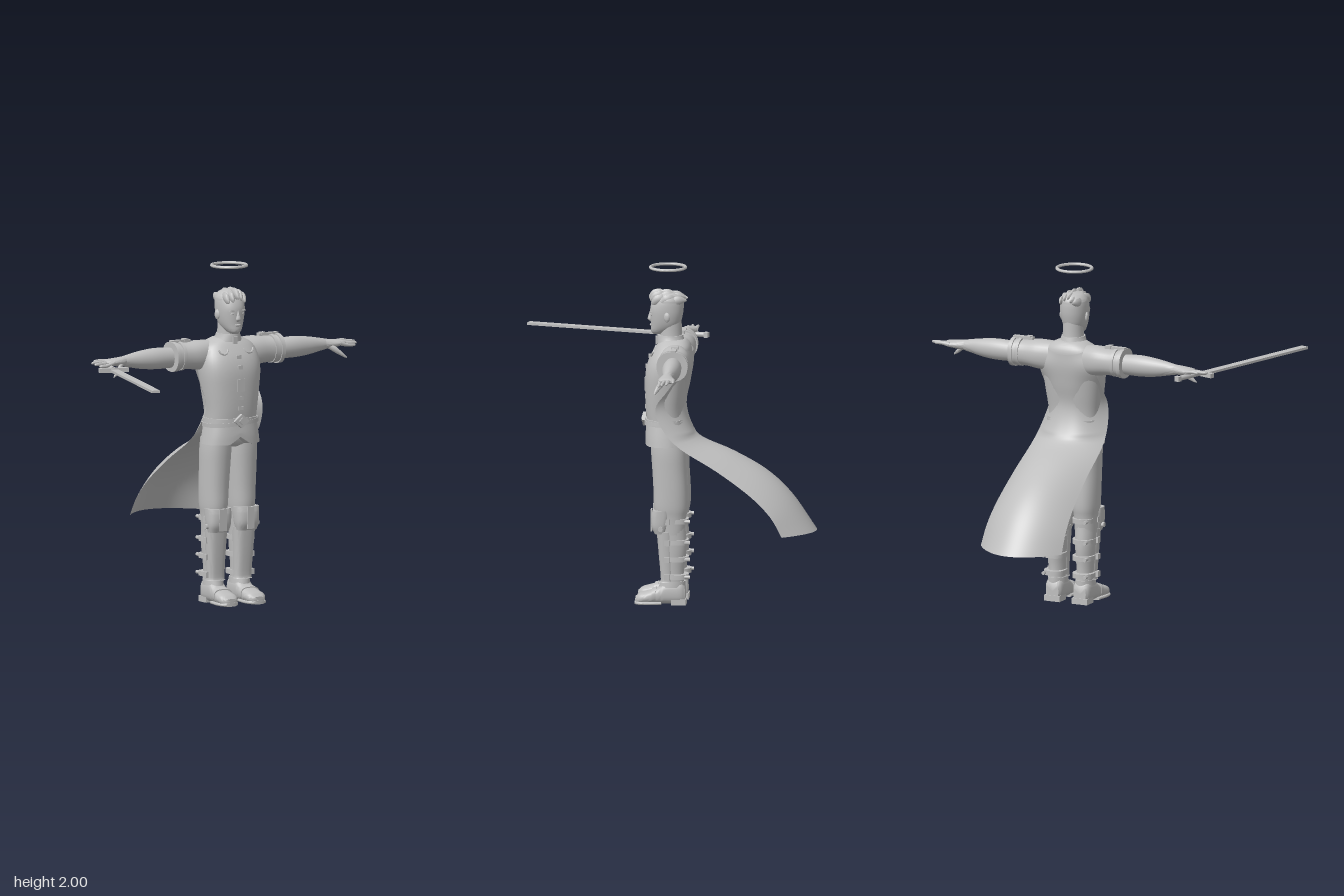
import * as THREE from 'three';
import { toCreasedNormals } from 'three/addons/utils/BufferGeometryUtils.js';

// Skin through superellipse rings [t, uCentre, uHalf, vLow, vHigh] along an axis.
// Axis y uses (u,v)=(x,z); axis x uses (z,y); axis z uses (x,y).
function loft(axis, rings, { n = 2, seg = 28, sub = 4 } = {}) {
  const A = new THREE.CatmullRomCurve3(rings.map(r => new THREE.Vector3(r[0], r[1], r[2])), false, 'catmullrom', 0.5);
  const B = new THREE.CatmullRomCurve3(rings.map(r => new THREE.Vector3(r[3], r[4], 0)), false, 'catmullrom', 0.5);
  const rows = (rings.length - 1) * sub, pos = [], idx = [];
  const put = (t, u, v) => pos.push(...(axis === 'y' ? [u, t, v] : axis === 'x' ? [t, v, u] : [u, v, t]));
  const pw = c => Math.sign(c) * Math.abs(c) ** (2 / n);
  const ends = [];
  for (let i = 0; i <= rows; i++) {
    const a = A.getPoint(i / rows), b = B.getPoint(i / rows);
    if (i === 0 || i === rows) ends.push([a.x, a.y, (b.x + b.y) / 2, i * seg]);
    for (let j = 0; j < seg; j++) {
      const th = j / seg * Math.PI * 2;
      put(a.x, a.y + a.z * pw(Math.cos(th)), (b.x + b.y) / 2 + (b.y - b.x) / 2 * pw(Math.sin(th)));
      const k = (j + 1) % seg, p = i * seg;
      if (i < rows) idx.push(p + j, p + seg + j, p + k, p + k, p + seg + j, p + seg + k);
    }
  }
  ends.forEach(([t, u, v, p], e) => {
    const c = pos.length / 3;
    put(t, u, v);
    for (let j = 0; j < seg; j++) {
      const k = (j + 1) % seg;
      e ? idx.push(c, p + k, p + j) : idx.push(c, p + j, p + k);
    }
  });
  // Turn the faces outward
  const P = i => new THREE.Vector3().fromArray(pos, i * 3);
  let vol = 0;
  for (let i = 0; i < idx.length; i += 3) vol += P(idx[i]).dot(P(idx[i + 1]).cross(P(idx[i + 2])));
  if (vol < 0) idx.reverse();
  const g = new THREE.BufferGeometry();
  g.setAttribute('position', new THREE.Float32BufferAttribute(pos, 3));
  g.setIndex(idx);
  return g;
}

const box = (w, h, d, x, y, z, rz = 0) => new THREE.BoxGeometry(w, h, d).rotateZ(rz).translate(x, y, z);

function mirrored(g) {
  const m = g.clone().scale(-1, 1, 1), p = m.attributes.position;
  for (let i = 0; i < p.count; i += 3) {
    const a = new THREE.Vector3().fromBufferAttribute(p, i), c = new THREE.Vector3().fromBufferAttribute(p, i + 2);
    p.setXYZ(i, c.x, c.y, c.z);
    p.setXYZ(i + 2, a.x, a.y, a.z);
  }
  return toCreasedNormals(m, 0.8);
}

export function createModel() {
  const grey = new THREE.MeshStandardMaterial({ color: 0xbfbfbf });
  grey.name = 'plain grey';
  const clothGrey = new THREE.MeshStandardMaterial({ color: 0xbfbfbf, side: THREE.DoubleSide });
  clothGrey.name = 'cape grey';
  const model = new THREE.Group(), figure = new THREE.Group();
  model.name = 'swordsman';
  figure.name = 'figure';
  figure.position.x = 0.08;
  model.add(figure);
  const mesh = (name, g, parent = figure) => {
    const m = new THREE.Mesh(g, grey);
    m.name = name;
    parent.add(m);
  };
  const add = (name, g) => mesh(name, toCreasedNormals(g, 0.8));
  const pair = (name, g) => {
    const c = toCreasedNormals(g, 0.8);
    mesh(name + 'Left', c);
    mesh(name + 'Right', mirrored(c));
  };

  // Coat, with the hem cut open at the front
  add('coat', loft('y', [[1.07, 0, .155, -.13, .09], [1.15, 0, .16, -.13, .098], [1.26, 0, .175, -.145, .102],
    [1.37, 0, .188, -.16, .1], [1.45, 0, .185, -.168, .08], [1.52, 0, .16, -.165, .04], [1.558, 0, .1, -.14, .01],
    [1.57, 0, .06, -.11, 0]], { n: 2.5, seg: 40 }));
  const skirt = loft('y', [[.945, 0, .178, -.14, .1], [1.0, 0, .17, -.137, .1], [1.08, 0, .157, -.132, .094]], { n: 2.6, seg: 48 });
  const sp = skirt.attributes.position;
  for (let i = 0; i < sp.count; i++) {
    const lift = Math.max(0, 1 - Math.abs(sp.getX(i)) / .07) * .045;
    if (sp.getZ(i) > .03 && sp.getY(i) < 1.03) sp.setY(i, sp.getY(i) + lift * (1.03 - sp.getY(i)) / .085);
  }
  add('coatSkirt', skirt);
  const beltRings = (a, b, e) => [a, b].map(y => [y, 0, .157 + e, -.134 - e, .096 + e]);
  add('belt', loft('y', beltRings(1.065, 1.1, .007), { n: 2.5, seg: 40, sub: 1 }));
  add('lowerBelt', loft('y', beltRings(-.012, .012, .011), { n: 2.5, seg: 40, sub: 1 }).rotateZ(.07).translate(0, 1.07, 0));
  add('beltBuckle', box(.058, .058, .02, 0, 0, 0, Math.PI / 4).scale(1.25, 1, 1).translate(0, 1.085, .108));
  add('beltBuckleCentre', box(.03, .03, .02, 0, 1.085, .114, Math.PI / 4));
  add('collar', loft('y', [[1.545, 0, .085, -.13, .035], [1.575, 0, .073, -.122, .034], [1.59, 0, .069, -.118, .032]]));
  add('collarClasp', box(.028, .045, .014, 0, 1.555, .037));
  add('coatPlacket', box(.05, .075, .01, 0, 1.295, .102));
  for (const y of [1.46, 1.4, 1.22, 1.16]) add('coatFastener', box(.032, .022, .012, 0, y, y > 1.43 ? .078 : y > 1.3 ? .096 : .099));
  pair('pocketFlap', new THREE.TorusGeometry(.03, .006, 6, 14, Math.PI).rotateZ(Math.PI).rotateX(-.45).translate(.085, 1.505, .047));

  // Sleeves, cuffs and shoulder straps
  pair('sleeve', loft('x', [[.1, -.08, .075, 1.37, 1.55], [.19, -.085, .088, 1.38, 1.553], [.28, -.085, .084, 1.39, 1.545],
    [.365, -.085, .086, 1.385, 1.55]], { n: 2.3 }));
  pair('sleeveCuff', loft('x', [[.343, -.085, .091, 1.38, 1.556], [.367, -.085, .091, 1.38, 1.556]], { n: 2.3, sub: 1 }));
  pair('shoulderBand', loft('x', [[.302, -.085, .09, 1.385, 1.555], [.322, -.085, .09, 1.385, 1.555]], { n: 2.3, sub: 1 }));
  pair('shoulderStrap', box(.13, .016, .03, .3, 1.555, -.092));
  pair('strapBuckle', box(.028, .016, .04, .265, 1.56, -.092));

  // Bare arms and hands
  pair('forearm', loft('x', [[.33, -.088, .05, 1.405, 1.52], [.46, -.09, .055, 1.402, 1.528], [.56, -.09, .047, 1.41, 1.52],
    [.64, -.088, .035, 1.425, 1.507], [.7, -.086, .028, 1.437, 1.495]]));
  pair('palm', loft('x', [[.68, -.086, .029, 1.438, 1.497], [.72, -.085, .038, 1.438, 1.493], [.765, -.088, .048, 1.445, 1.488],
    [.8, -.092, .045, 1.452, 1.484], [.815, -.092, .034, 1.46, 1.478]]));
  [[-.052, -.05, .875, 1.452], [-.078, -.07, .895, 1.462], [-.103, -.098, .9, 1.468], [-.127, -.133, .865, 1.472]].forEach(([z0, z1, x, y]) =>
    pair('finger', loft('x', [[.77, z0, .012, 1.453, 1.481], [(.77 + x) / 2, (z0 + z1) / 2, .011, y - .009, y + .012],
      [x - .01, z1, .008, y - .008, y + .008], [x, z1, .002, y - .002, y + .002]], { seg: 10 })));
  pair('thumb', loft('x', [[.7, -.075, .016, 1.44, 1.475], [.735, -.05, .016, 1.415, 1.455], [.77, -.03, .011, 1.393, 1.42],
    [.795, -.018, .004, 1.382, 1.392]], { seg: 12 }));

  // Head and face
  add('neck', loft('y', [[1.53, 0, .075, -.125, .025], [1.58, 0, .062, -.112, .02], [1.68, 0, .06, -.11, .02]]));
  add('head', loft('y', [[1.594, 0, .022, .0, .058], [1.612, 0, .044, -.05, .07], [1.65, 0, .065, -.098, .071],
    [1.7, 0, .077, -.115, .074], [1.75, 0, .081, -.122, .074], [1.8, 0, .077, -.12, .056], [1.832, 0, .058, -.1, .03],
    [1.845, 0, .025, -.06, 0]], { n: 2.2, seg: 32 }));
  add('nose', loft('y', [[1.668, 0, .011, .05, .076], [1.68, 0, .016, .05, .09], [1.71, 0, .01, .05, .083], [1.745, 0, .008, .05, .072]], { seg: 12 }));
  add('mouth', new THREE.SphereGeometry(1, 14, 8).scale(.023, .007, .01).translate(0, 1.647, .068));
  pair('ear', new THREE.SphereGeometry(1, 12, 10).scale(.01, .03, .019).rotateY(-.3).translate(.081, 1.705, -.03));
  pair('brow', box(.036, .008, .014, .034, 1.733, .065, .12));
  pair('eye', new THREE.SphereGeometry(1, 12, 8).scale(.013, .006, .008).translate(.033, 1.714, .064));

  // Swept-back hair
  add('hairCap', loft('y', [[1.785, 0, .082, -.124, .058], [1.81, 0, .078, -.12, .052], [1.838, 0, .055, -.095, .03], [1.85, 0, .02, -.06, 0]]));
  for (let row = 0; row < 3; row++) {
    for (let i = -2; i <= 2; i++) {
      const x = i * .027 + (row % 2) * .008, z = .06 - row * .05 - Math.abs(i) * .009;
      const top = 1.862 - Math.abs(i) * .012 - (row === 2 ? .01 : 0) + (i % 2) * .004;
      add('hairTuft', loft('z', [[z + .022, x, .004, top - .06, top - .04], [z, x * 1.03, .015, top - .065, top - .008],
        [z - .045, x * .95, .014, top - .05, top], [z - .085, x * .75, .002, top - .03, top - .022]], { seg: 10, sub: 3 }));
    }
  }
  add('halo', new THREE.TorusGeometry(.103, .009, 10, 48).rotateX(Math.PI / 2).translate(0, 1.99, -.03));

  // Trousers
  add('hips', loft('y', [[.925, 0, .1, -.11, .03], [.96, 0, .155, -.135, .07], [1.05, 0, .15, -.125, .08]], { n: 2.4 }));
  pair('trouserLeg', loft('y', [[.42, .093, .063, -.135, .02], [.52, .093, .068, -.145, .035], [.58, .093, .075, -.155, .045],
    [.68, .092, .08, -.155, .048], [.8, .09, .084, -.148, .055], [.9, .088, .087, -.145, .062], [.98, .085, .085, -.138, .065]], { n: 2.2 }));

  // Calves, shin plates and knee guards
  pair('calf', loft('y', [[.1, .09, .048, -.135, -.01], [.2, .092, .05, -.132, 0], [.34, .094, .058, -.148, .01], [.46, .094, .062, -.14, .015]]));
  pair('shinPlate', loft('y', [[.135, .092, .058, -.075, .01], [.155, .092, .054, -.073, .004], [.3, .094, .059, -.073, .016],
    [.44, .095, .066, -.07, .028]], { n: 2.8 }));
  pair('kneeGuard', loft('y', [[.425, .096, .063, -.03, .04], [.47, .096, .073, -.045, .058], [.53, .095, .077, -.055, .058],
    [.565, .095, .078, -.05, .05]], { n: 3, seg: 32 }));
  pair('kneeRidge', box(.045, .13, .01, .095, .5, .059));
  pair('kneeRivet', new THREE.CylinderGeometry(.015, .015, .02, 12).rotateZ(Math.PI / 2).translate(.172, .46, 0));
  for (const y of [.17, .275, .375, .5]) {
    pair('legStrap', loft('y', [[y - .014, .093, .064, -.16, -.02], [y + .014, .093, .064, -.16, -.02]], { sub: 1, n: 2.4 }));
    pair('legBuckle', box(.018, .034, .032, .156, y, -.035));
    pair('strapEnd', new THREE.CylinderGeometry(.011, .011, .085, 10).rotateX(Math.PI / 2).translate(.135, y, -.128));
  }

  // Boots
  pair('boot', loft('z', [[-.14, .09, .04, .01, .11], [-.11, .09, .054, .005, .14], [-.03, .09, .055, .005, .135], [.02, .091, .056, .005, .1],
    [.08, .093, .062, .005, .078], [.125, .094, .058, .005, .065], [.152, .094, .035, .01, .045]], { n: 2.7 }));
  pair('bootSole', loft('z', [[.0, .092, .056, 0, .02], [.08, .094, .067, 0, .022], [.13, .095, .06, 0, .022], [.156, .095, .034, 0, .022]], { n: 4 }));
  pair('bootHeel', box(.1, .035, .085, .09, .0175, -.103));
  pair('bootCuff', loft('y', [[.105, .09, .057, -.14, .015], [.14, .09, .055, -.14, .008]], { sub: 1 }));
  pair('bootStrap', loft('z', [[.03, .091, .06, .01, .1], [.055, .092, .063, .01, .092]], { n: 2.7, sub: 1 }));

  // Wind-blown cape: rows of [side y, side z, middle y, middle z, half width]
  const rows = [[1.53, -.13, 1.5, -.178, .13], [1.42, -.13, 1.42, -.178, .178], [1.29, -.045, 1.31, -.16, .187], [1.18, .028, 1.18, -.138, .19],
    [1.06, -.015, 1.05, -.172, .21], [.95, -.12, .975, -.235, .225], [.82, -.335, .9, -.415, .235], [.68, -.53, .79, -.61, .248],
    [.56, -.65, .65, -.76, .258], [.44, -.72, .44, -.905, .265]];
  const side = new THREE.CatmullRomCurve3(rows.map(r => new THREE.Vector3(r[4], r[0], r[1])), false, 'catmullrom', .5);
  const mid = new THREE.CatmullRomCurve3(rows.map(r => new THREE.Vector3(0, r[2], r[3])), false, 'catmullrom', .5);
  const cloth = new THREE.PlaneGeometry(2, 1, 28, 45), cp = cloth.attributes.position;
  for (let i = 0; i < cp.count; i++) {
    const a = -cp.getX(i), t = Math.min(1, Math.max(0, .5 - cp.getY(i))), s = side.getPoint(t), m = mid.getPoint(t);
    const k = Math.abs(a) ** (t < .5 ? 2.6 : 2);
    cp.setXYZ(i, a * s.x, m.y + (s.y - m.y) * k, m.z + (s.z - m.z) * k);
  }
  cloth.computeVertexNormals();
  const cape = new THREE.Mesh(cloth, clothGrey);
  cape.name = 'cape';
  figure.add(cape);

  // Sword held level, pointing forward
  const sword = new THREE.Group();
  sword.name = 'sword';
  sword.position.set(-.732, 1.435, .01);
  sword.rotation.y = Math.atan2(-.295, 1.085);
  mesh('blade', box(.05, .014, .9, 0, -.002, .455), sword);
  mesh('crossguard', box(.175, .026, .03, 0, 0, 0), sword);
  mesh('grip', new THREE.CylinderGeometry(.015, .015, .2, 12).rotateX(Math.PI / 2).translate(0, .004, -.105), sword);
  mesh('pommel', box(.034, .03, .025, 0, .004, -.205), sword);
  model.add(sword);
  return model;
}
